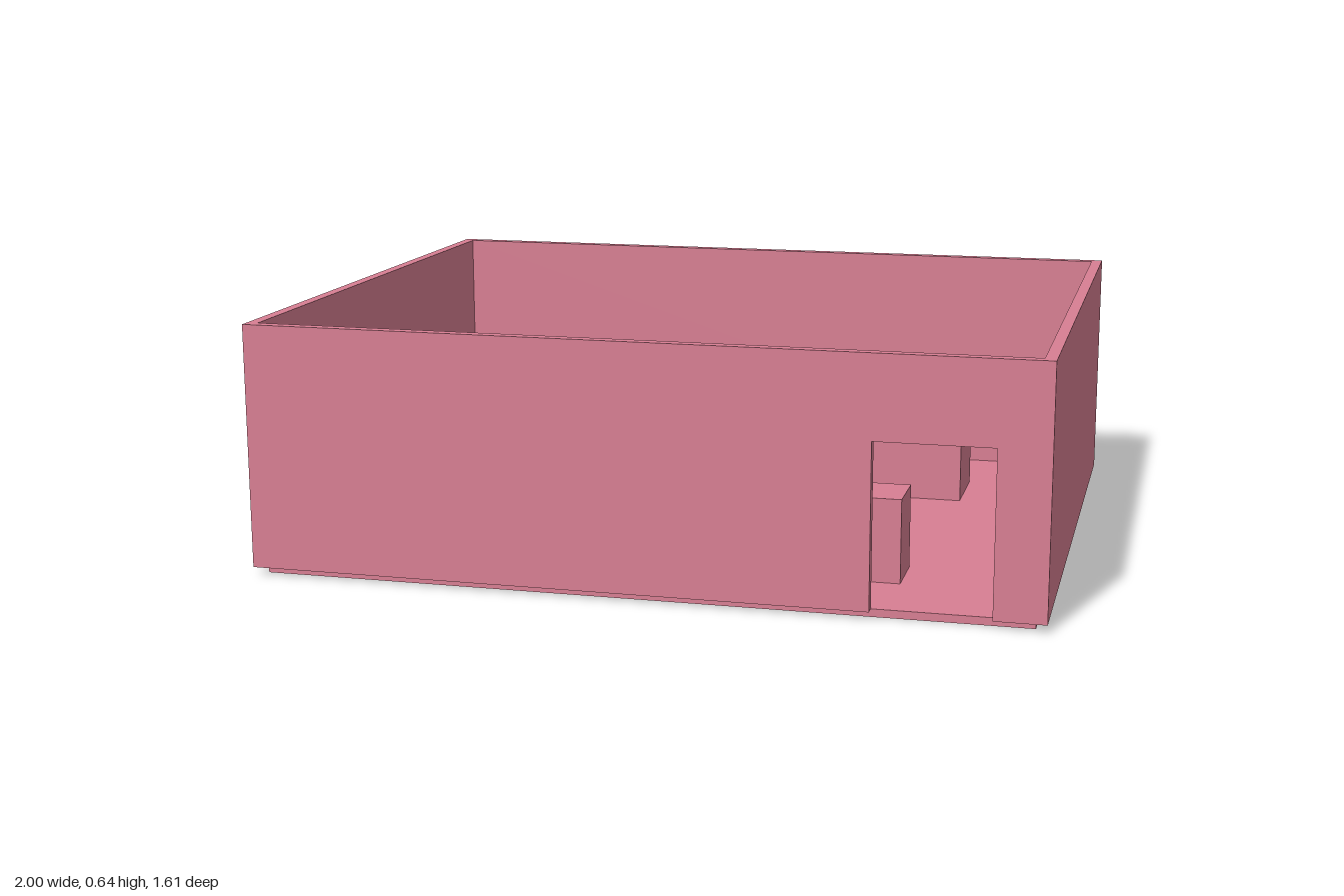
import * as THREE from 'three';

const W = 1, D = 0.805, T = 0.029;      // half width, half depth, wall thickness
const FLOOR = 0.02, TOP = 0.645;
const IX = W - T, IZ = D - T;           // inner half sizes

const material = new THREE.MeshStandardMaterial({ color: 0xd87f93, flatShading: true });

function add(group, name, geometry) {
  const mesh = new THREE.Mesh(geometry, material);
  mesh.name = name;
  group.add(mesh);
  return mesh;
}

// Box given by its limits on each axis
function block(group, name, [x0, x1], [y0, y1], [z0, z1]) {
  const mesh = add(group, name, new THREE.BoxGeometry(x1 - x0, y1 - y0, z1 - z0));
  mesh.position.set((x0 + x1) / 2, (y0 + y1) / 2, (z0 + z1) / 2);
}

function outline(points) {
  return new THREE.Shape(points.map(([x, y]) => new THREE.Vector2(x, y)));
}

export function createModel() {
  const room = new THREE.Group();
  room.name = 'furnishedRoom';

  // Floor slab, set inside the walls
  block(room, 'floor', [-IX, IX], [0, FLOOR], [-IZ, IZ]);

  // Back and side walls as one U-shaped plan, raised upwards
  const plan = outline([[-W, -IZ], [-IX, -IZ], [-IX, IZ], [IX, IZ], [IX, -IZ], [W, -IZ], [W, D], [-W, D]]);
  const sides = new THREE.ExtrudeGeometry(plan, { depth: TOP - FLOOR, bevelEnabled: false });
  sides.rotateX(-Math.PI / 2);
  add(room, 'backAndSideWalls', sides).position.y = FLOOR;

  // Front wall with a doorway cut from its lower edge
  const front = outline([
    [-W, FLOOR], [0.58, FLOOR], [0.58, 0.435], [0.872, 0.435], [0.872, FLOOR],
    [W, FLOOR], [W, TOP], [-W, TOP],
  ]);
  const frontGeometry = new THREE.ExtrudeGeometry(front, { depth: T, bevelEnabled: false });
  add(room, 'frontWall', frontGeometry).position.z = IZ;

  // Furniture: name, x limits, top height, z limits
  const furniture = [
    ['sofa', [-0.292, 0.292], 0.195, [-IZ, -0.625]],
    ['lowTable', [-0.602, -0.372], 0.095, [-0.508, -0.278]],
    ['diningTable', [0.31, 0.658], 0.235, [-0.508, -0.278]],
    ['desk', [0.35, 0.617], 0.235, [0.408, 0.56]],
    ['wardrobe', [0.857, IX], 0.37, [0.038, 0.348]],
    ['bookcase', [-IX, -0.898], 0.45, [0.17, 0.406]],
    ['sideCabinet', [-IX, -0.876], 0.22, [0.486, 0.672]],
  ];
  for (const [name, x, top, z] of furniture) block(room, name, x, [FLOOR, top], z);

  // Screen hung on the inside of the front wall
  block(room, 'wallScreen', [-0.197, 0.197], [0.22, 0.455], [0.752, IZ]);

  return room;
}
